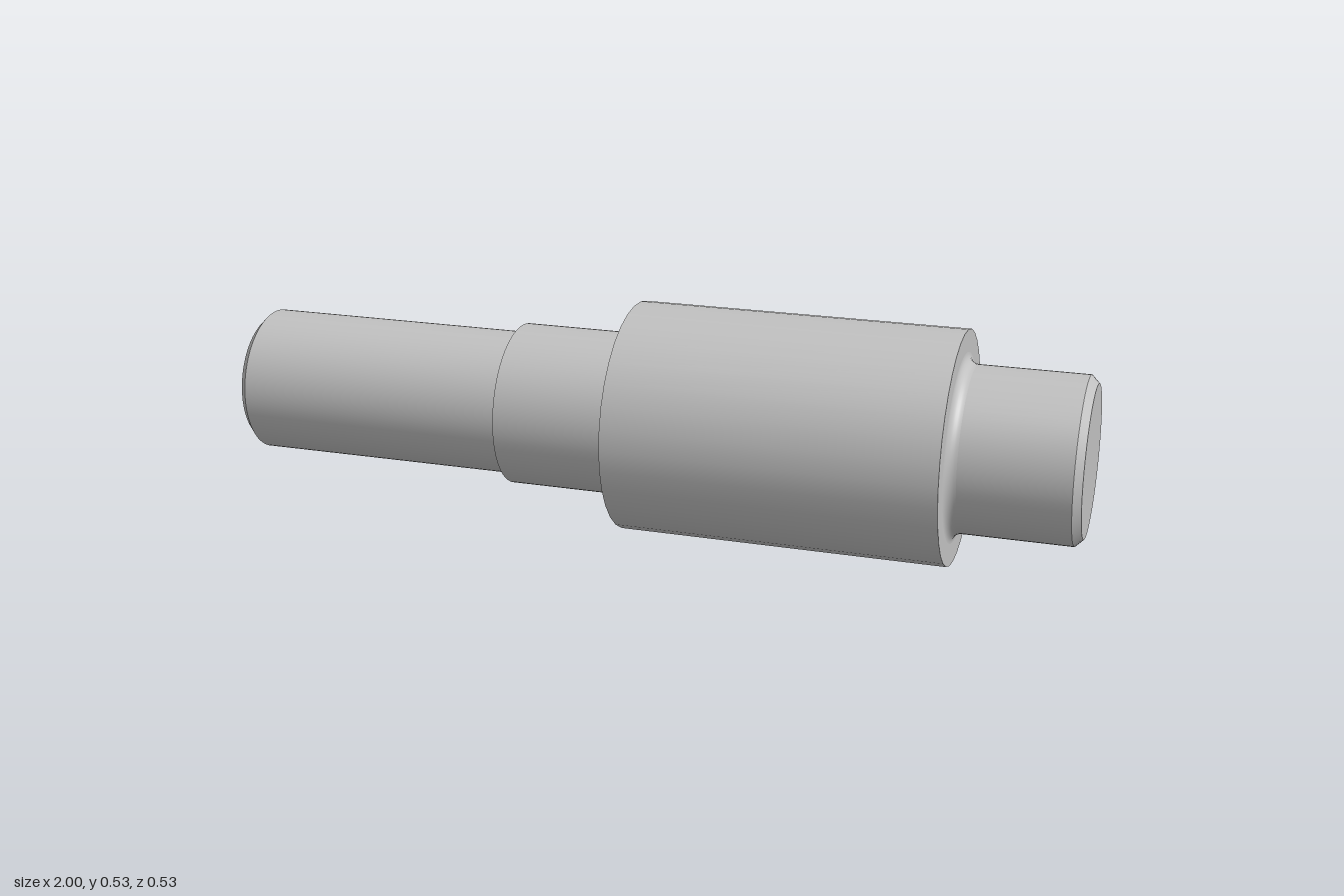
import * as THREE from 'three';
import { ParametricGeometry } from 'three/addons/geometries/ParametricGeometry.js';

export function createModel() {
  const steel = new THREE.MeshStandardMaterial({ color: 0xc0c0c0 });
  steel.name = 'steel grey';

  const model = new THREE.Group();
  model.name = 'steppedShaft';
  model.position.y = 0.267;

  const add = (parent, name, geometry) => {
    const mesh = new THREE.Mesh(geometry, steel);
    mesh.name = name;
    parent.add(mesh);
  };
  const section = (name) => {
    const group = new THREE.Group();
    group.name = name;
    model.add(group);
    return group;
  };

  // Revolve a profile of [x, radius] points about the x axis
  const turn = (parent, name, profile, sides = 64, start = 0, length = Math.PI * 2) => {
    const points = profile.map(([x, r]) => new THREE.Vector2(r, x));
    add(parent, name, new THREE.LatheGeometry(points, sides, start, length).rotateZ(-Math.PI / 2));
  };

  // Main dimensions
  const rKey = 0.169, rSeat = 0.19, rCollar = 0.267, chamfer = 0.018, fillet = 0.025;
  const xStep = -0.335, xCollarA = -0.05, xCollarB = 0.71;

  // Thin end with a keyway in its back
  const keyEnd = section('keyedEnd');
  const w = 0.055, slotA = -0.9, slotB = -0.49, floorZ = -0.1;
  const xStart = -1 + chamfer;
  const gap = Math.asin(w / rKey);
  turn(keyEnd, 'endFace', [[-1, 0], [-1, rKey - chamfer]]);
  turn(keyEnd, 'endChamfer', [[-1, rKey - chamfer], [xStart, rKey]]);
  turn(keyEnd, 'keyedJournal', [[xStart, rKey], [xStep, rKey]], 64, Math.PI + gap, 2 * (Math.PI - gap));

  const surfaceZ = (y) => -Math.sqrt(rKey * rKey - y * y);
  const leftEdge = (a) => slotA - w * Math.cos(a);
  const rightEdge = (a) => slotB + w * Math.cos(a);

  // Patch spanning the slot width, between two edges given by the angle around the slot end
  const patch = (name, from, to, depth) => add(keyEnd, name, new ParametricGeometry((u, v, p) => {
    const a = (u - 0.5) * Math.PI, y = w * Math.sin(a);
    p.set(THREE.MathUtils.lerp(from(a), to(a), v), y, depth(y));
  }, 24, 1));
  patch('journalBeforeSlot', () => xStart, leftEdge, surfaceZ);
  patch('journalAfterSlot', rightEdge, () => xStep, surfaceZ);
  patch('keywayFloor', leftEdge, rightEdge, () => floorZ);

  // Keyway walls, from the journal surface down to the floor
  const wall = (name, path) => add(keyEnd, name, new ParametricGeometry((u, v, p) => {
    const [x, y] = path(u);
    p.set(x, y, THREE.MathUtils.lerp(surfaceZ(y), floorZ, v));
  }, 24, 1));
  const slotLength = slotB - slotA;
  wall('keywayUpperWall', (u) => [slotA + u * slotLength, w]);
  wall('keywayLowerWall', (u) => [slotB - u * slotLength, -w]);
  wall('keywayInnerEnd', (u) => {
    const a = (0.5 - u) * Math.PI;
    return [rightEdge(a), w * Math.sin(a)];
  });
  wall('keywayOuterEnd', (u) => {
    const a = (u - 0.5) * Math.PI;
    return [leftEdge(a), w * Math.sin(a)];
  });

  // Quarter-round fillets where the seats meet the collar
  const arc = Array.from({ length: 9 }, (_, i) => {
    const t = (i / 8) * Math.PI / 2;
    return [fillet * (1 - Math.sin(t)), rSeat + fillet * (1 - Math.cos(t))];
  });

  // Bearing seat beside the keyed end
  const seatA = section('innerSeat');
  turn(seatA, 'stepFace', [[xStep, rKey], [xStep, rSeat]]);
  turn(seatA, 'seat', [[xStep, rSeat], [xCollarA - fillet, rSeat]]);
  turn(seatA, 'fillet', arc.map(([d, r]) => [xCollarA - d, r]));

  // Large collar
  const collar = section('collar');
  const rInner = rSeat + fillet - 0.002;
  turn(collar, 'collarFaceLeft', [[xCollarA, rInner], [xCollarA, rCollar]], 33);
  turn(collar, 'collarBody', [[xCollarA, rCollar], [xCollarB, rCollar]], 33);
  turn(collar, 'collarFaceRight', [[xCollarB, rCollar], [xCollarB, rInner]], 33);

  // Bearing seat at the other end
  const seatB = section('outerSeat');
  turn(seatB, 'fillet', arc.map(([d, r]) => [xCollarB + d, r]).reverse());
  turn(seatB, 'seat', [[xCollarB + fillet, rSeat], [1 - chamfer, rSeat]]);
  turn(seatB, 'endChamfer', [[1 - chamfer, rSeat], [1, rSeat - chamfer]]);
  turn(seatB, 'endFace', [[1, rSeat - chamfer], [1, 0]]);

  return model;
}
